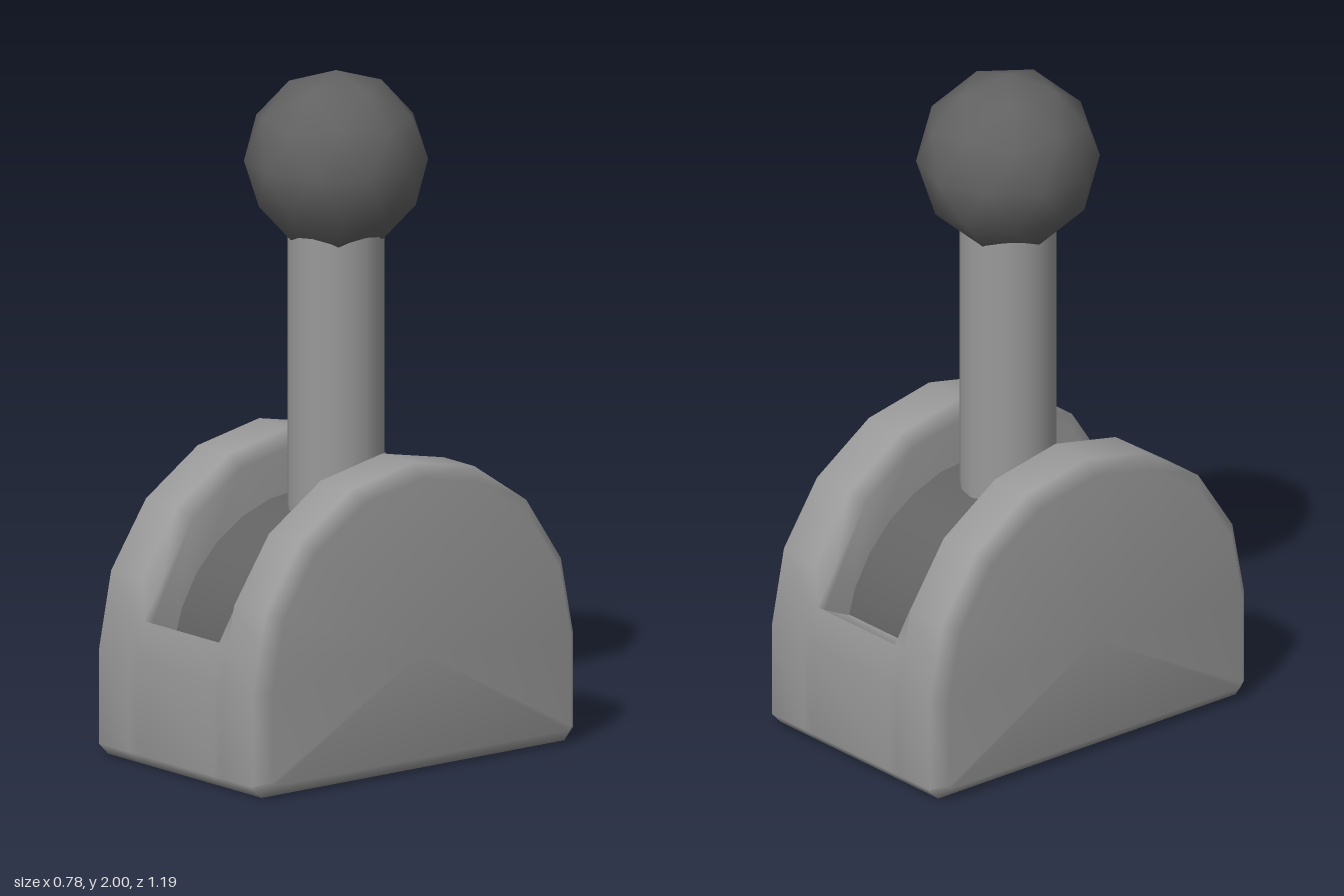
import * as THREE from 'three';

const casingGrey = new THREE.MeshStandardMaterial({ color: 0x9a9a9a });
casingGrey.name = 'casingGrey';
const darkGrey = new THREE.MeshStandardMaterial({ color: 0x626262 });
darkGrey.name = 'darkGrey';

const BEVEL = 0.04;

// Run a half profile of [z, y] points up the front and mirror it down the back
const mirrored = half => [...half, ...half.slice(0, -1).reverse().map(([z, y]) => [-z, y])];

// Front half of the domed side outline, shrunk by an inset
function halfOutline(inset) {
  const r = 0.593 - inset;
  const arc = [0, 1, 2, 3, 4].map(k => {
    const a = k * Math.PI / 8;
    return [r * Math.cos(a), 0.313 + r * Math.sin(a)];
  });
  const ledge = [(arc[0][0] + arc[1][0]) / 2, (arc[0][1] + arc[1][1]) / 2];
  return [
    [0.56 - inset * 0.41, inset],
    [0.593 - inset, 0.035 + inset * 0.41],
    arc[0], ledge, ...arc.slice(1),
  ];
}

// Area-weighted smooth normals that stay sharp above the crease angle
function creasedGeometry(triangles, crease) {
  const corners = new Map();
  const key = p => p.toArray().map(v => Math.round(v * 1e4)).join();
  const faces = [];
  for (const [a, b, c] of triangles) {
    const n = b.clone().sub(a).cross(c.clone().sub(a));
    if (n.length() < 1e-8) continue;
    faces.push({ points: [a, b, c], n });
    for (const p of [a, b, c]) {
      if (!corners.has(key(p))) corners.set(key(p), []);
      corners.get(key(p)).push(n);
    }
  }
  const positions = [], normals = [];
  for (const { points, n } of faces) {
    for (const p of points) {
      const sum = new THREE.Vector3();
      for (const m of corners.get(key(p))) if (m.angleTo(n) < crease) sum.add(m);
      positions.push(...p.toArray());
      normals.push(...sum.normalize().toArray());
    }
  }
  const g = new THREE.BufferGeometry();
  g.setAttribute('position', new THREE.Float32BufferAttribute(positions, 3));
  g.setAttribute('normal', new THREE.Float32BufferAttribute(normals, 3));
  return g;
}

// Casing: cross-sections swept along x, dropping into the slot in the middle
function casingGeometry() {
  const full = halfOutline(0), small = halfOutline(BEVEL);
  const rim = full.map((p, i) => (i > 3 ? small[i] : p));
  const slot = [...full.slice(0, 4), [0.545, 0.41], [0.46, 0.37], [0.2, 0.36], [0, 0.36]];
  const side = [[0.39, small], [0.35, full], [0.21, full], [0.17, rim], [0.17, slot]];
  const stations = [...side.map(([x, h]) => [-x, h]), ...side.slice().reverse()];
  const rings = stations.map(([x, h]) => mirrored(h).map(([z, y]) => new THREE.Vector3(x, y, z)));
  const count = rings[0].length;
  const triangles = [];
  for (let j = 0; j < count; j++) {
    const k = (j + 1) % count;
    for (let i = 0; i < rings.length - 1; i++) {
      const p = rings[i], q = rings[i + 1];
      triangles.push([p[j], q[j], p[k]], [q[j], q[k], p[k]]);
    }
    // Flat outer cheeks
    const first = rings[0], last = rings[rings.length - 1];
    triangles.push([new THREE.Vector3(-0.39, 0.35, 0), first[j], first[k]]);
    triangles.push([new THREE.Vector3(0.39, 0.35, 0), last[k], last[j]]);
  }
  return creasedGeometry(triangles, 0.9);
}

export function createModel() {
  const model = new THREE.Group();
  model.name = 'lever';
  const add = (name, geometry, material) => {
    const mesh = new THREE.Mesh(geometry, material);
    mesh.name = name;
    model.add(mesh);
    return mesh;
  };

  add('casing', casingGeometry(), casingGrey);

  // Curved cover at the bottom of the slot, only its upper arc
  const arc = 2.8;
  const cover = new THREE.CylinderGeometry(0.47, 0.47, 0.34, 12, 1, true, Math.PI / 2 - arc / 2, arc);
  cover.rotateZ(Math.PI / 2);
  // Turn the arc's middle to face up
  cover.computeBoundingBox();
  if (cover.boundingBox.max.y < 0.4) cover.rotateX(Math.PI);
  add('slotCover', cover, darkGrey).position.y = 0.26;

  // Handle shaft
  const shaft = new THREE.CylinderGeometry(0.14, 0.14, 0.95, 16);
  add('shaft', shaft, casingGrey).position.y = 1.135;

  // Faceted round knob with a corner pointing up
  const knob = new THREE.IcosahedronGeometry(0.265, 1);
  knob.rotateZ(-Math.atan(2 / (1 + Math.sqrt(5))));
  add('knob', knob, darkGrey).position.y = 1.735;

  return model;
}
